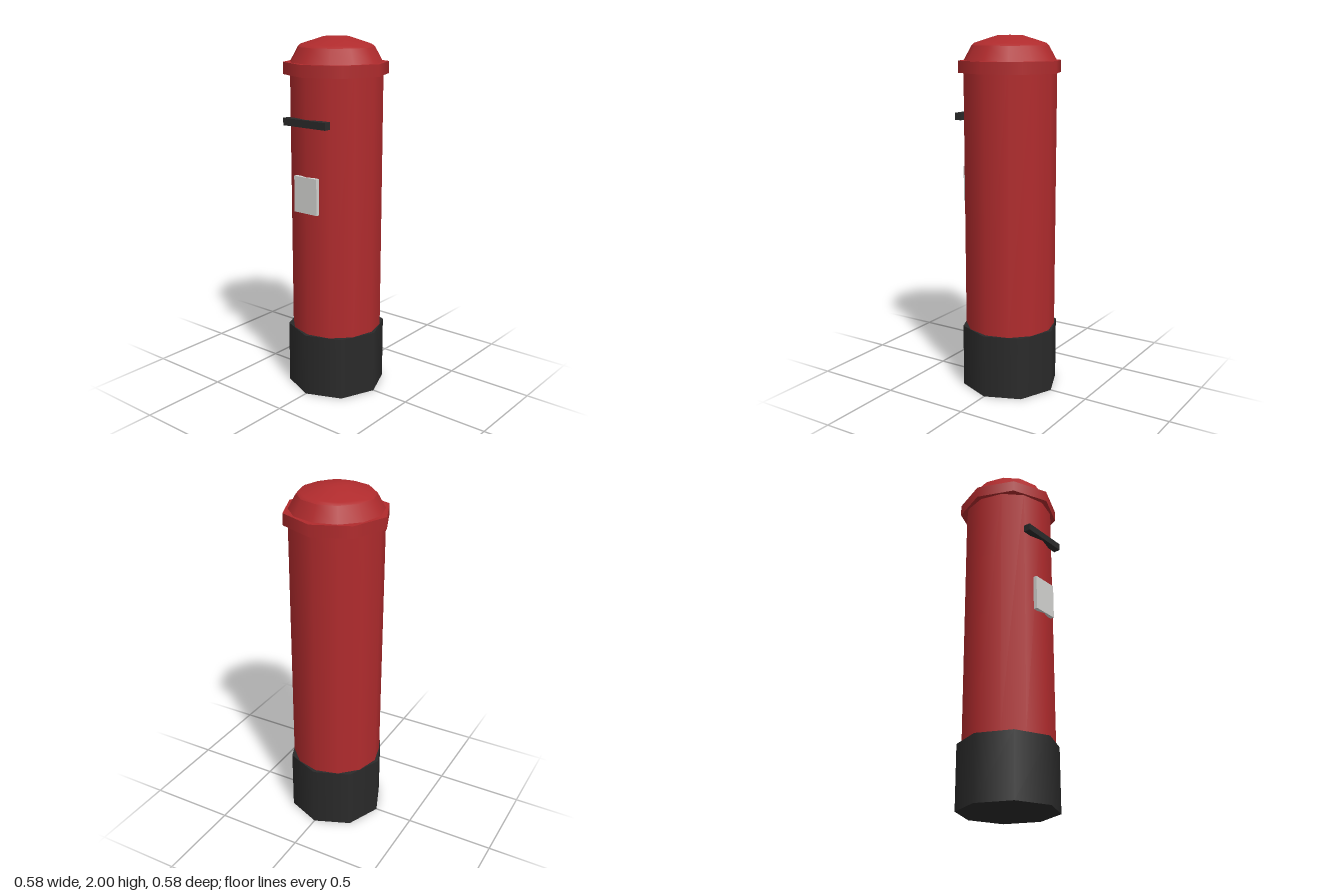
import * as THREE from 'three';

const material = (name, color) => {
  const m = new THREE.MeshStandardMaterial({ color });
  m.name = name;
  return m;
};

export function createModel() {
  const group = new THREE.Group();
  group.name = 'pillarBox';
  const red = material('postRed', 0xb02b2d);
  const black = material('softBlack', 0x2a2a2a);
  const paper = material('paleGrey', 0xd2d2d0);

  const add = (name, geometry, mat, y, z = 0) => {
    const mesh = new THREE.Mesh(geometry, mat);
    mesh.name = name;
    mesh.position.set(0, y, z);
    group.add(mesh);
  };
  // Upright drum standing between two heights
  const drum = (name, radius, y0, y1, sides, mat) =>
    add(name, new THREE.CylinderGeometry(radius, radius, y1 - y0, sides), mat, (y0 + y1) / 2);

  // Plinth, pillar and projecting rim
  drum('plinth', 0.277, 0, 0.36, 8, black);
  drum('pillar', 0.256, 0.36, 1.83, 12, red);
  drum('rim', 0.288, 1.8, 1.865, 8, red);

  // Cap: sloping shoulder below a shallow crown
  const lathe = (points) =>
    new THREE.LatheGeometry(points.map(([r, y]) => new THREE.Vector2(r, y)), 12);
  add('capShoulder', lathe([[0.257, 1.86], [0.21, 1.945]]), red, 0);
  add('capCrown', lathe([[0.21, 1.945], [0.195, 1.958], [0.07, 1.998], [0, 2]]), red, 0);

  // Letter slot and notice plate on the front
  add('letterSlot', new THREE.BoxGeometry(0.29, 0.04, 0.04), black, 1.558, 0.252);
  add('noticePlate', new THREE.BoxGeometry(0.156, 0.2, 0.022), paper, 1.17, 0.254);

  return group;
}
